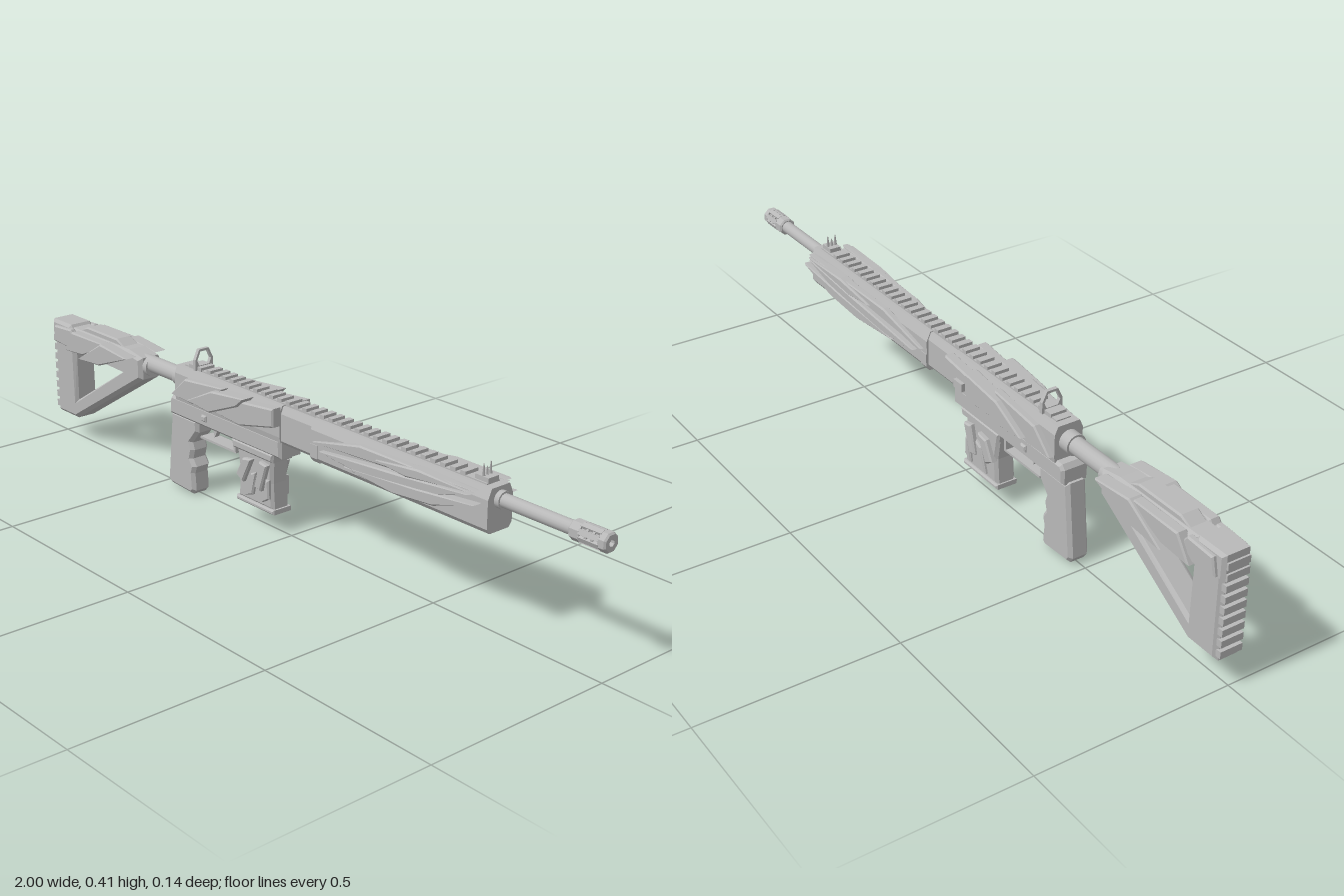
import * as THREE from 'three';

export function createModel() {
  const root = new THREE.Group();
  root.name = 'rifle';
  const grey = new THREE.MeshStandardMaterial({ color: 0xb8b8b8 });
  grey.name = 'grey';

  const add = (name, geo, x = 0, y = 0, z = 0) => {
    const m = new THREE.Mesh(geo, grey);
    m.name = name;
    m.position.set(x, y, z);
    root.add(m);
    return m;
  };
  const poly = (Type, pts) => new Type(pts.map(([x, y]) => new THREE.Vector2(x, y)));

  // Side outline extruded across z, centred, with chamfered edges inside the outline
  const slab = (name, pts, width, bevel = 0, hole = null) => {
    const s = poly(THREE.Shape, pts);
    if (hole) s.holes.push(poly(THREE.Path, hole));
    const geo = new THREE.ExtrudeGeometry(s, {
      depth: width - 2 * bevel, bevelEnabled: bevel > 0, bevelSize: bevel,
      bevelThickness: bevel, bevelOffset: -bevel, bevelSegments: 1,
    });
    geo.translate(0, 0, -(width / 2 - bevel));
    return add(name, geo);
  };
  // Symmetric cross-section [halfWidth, y] extruded along x
  const beam = (name, half, x0, x1) => {
    const pts = [...half, ...half.slice().reverse().map(([w, y]) => [-w, y])];
    const geo = new THREE.ExtrudeGeometry(poly(THREE.Shape, pts), { depth: x1 - x0, bevelEnabled: false });
    geo.rotateY(Math.PI / 2);
    return add(name, geo, x0);
  };
  const box = (name, x0, x1, y0, y1, z0, z1) =>
    add(name, new THREE.BoxGeometry(x1 - x0, y1 - y0, z1 - z0), (x0 + x1) / 2, (y0 + y1) / 2, (z0 + z1) / 2);
  const rod = (name, r, x0, x1, y, sides = 16) => {
    const geo = new THREE.CylinderGeometry(r, r, x1 - x0, sides);
    geo.rotateY(Math.PI / sides);
    geo.rotateZ(-Math.PI / 2);
    return add(name, sides <= 8 ? geo.toNonIndexed() : geo, (x0 + x1) / 2, y);
  };
  // Raised armour blade on both sides; slope leans it outwards along x
  const blade = (name, pts, z0, z1, slope = 0) => {
    const xMin = Math.min(...pts.map((p) => p[0]));
    for (const side of [1, -1]) {
      const s = poly(THREE.Shape, pts);
      const geo = new THREE.ExtrudeGeometry(s, {
        depth: z1 - z0 - 0.004, bevelEnabled: true, bevelSize: 0.004, bevelThickness: 0.004,
        bevelOffset: -0.004, bevelSegments: 1,
      });
      const p = geo.attributes.position;
      for (let i = 0; i < p.count; i++) {
        p.setZ(i, p.getZ(i) + z0 + slope * (p.getX(i) - xMin));
      }
      if (side < 0) geo.rotateY(Math.PI).scale(1, 1, 1);
      if (side < 0) {
        // turned half round, so mirror x back and swap winding
        for (let i = 0; i < p.count; i++) p.setX(i, -p.getX(i));
        for (let i = 0; i < p.count; i += 3) {
          const a = new THREE.Vector3().fromBufferAttribute(p, i + 1);
          const b = new THREE.Vector3().fromBufferAttribute(p, i + 2);
          p.setXYZ(i + 1, b.x, b.y, b.z);
          p.setXYZ(i + 2, a.x, a.y, a.z);
        }
      }
      geo.computeVertexNormals();
      add(name, geo);
    }
  };

  // Stock with triangular opening, ribbed butt pad and buffer tube
  slab('stock', [[-0.99, 0.07], [-0.9, 0.07], [-0.58, 0.265], [-0.58, 0.325], [-0.64, 0.335], [-0.99, 0.335]],
    0.07, 0.01, [[-0.895, 0.125], [-0.895, 0.265], [-0.67, 0.265]]);
  slab('buttCap', [[-0.995, 0.275], [-0.9, 0.275], [-0.9, 0.33], [-0.91, 0.342], [-0.995, 0.342]], 0.076, 0.008);
  for (let i = 0; i < 9; i++) box('buttRib', -1, -0.985, 0.082 + i * 0.028, 0.1 + i * 0.028, -0.03, 0.03);
  slab('stockTopPlate', [[-0.87, 0.335], [-0.84, 0.35], [-0.7, 0.35], [-0.67, 0.335]], 0.05, 0.004);
  blade('stockBlade', [[-0.98, 0.285], [-0.91, 0.28], [-0.87, 0.31], [-0.89, 0.335], [-0.97, 0.33]], 0.033, 0.048);
  blade('stockBlade', [[-0.91, 0.275], [-0.82, 0.28], [-0.7, 0.335], [-0.87, 0.335]], 0.033, 0.058);
  blade('stockBlade', [[-0.83, 0.27], [-0.73, 0.275], [-0.6, 0.325], [-0.72, 0.338]], 0.033, 0.067);
  rod('bufferTube', 0.022, -0.6, -0.4, 0.307);
  rod('bufferCollar', 0.027, -0.45, -0.41, 0.307);
  rod('stockCollar', 0.027, -0.6, -0.565, 0.3);

  // Receiver
  beam('upperReceiver', [[0.036, 0.255], [0.039, 0.27], [0.039, 0.33], [0.03, 0.35]], -0.42, 0);
  slab('lowerReceiver', [[-0.45, 0.21], [-0.002, 0.21], [-0.002, 0.262], [-0.44, 0.262], [-0.45, 0.25]], 0.074, 0.007);
  beam('receiverNeck', [[0.026, 0.25], [0.034, 0.26], [0.034, 0.33], [0.026, 0.348]], -0.01, 0.13);
  blade('receiverBlade', [[-0.42, 0.275], [-0.33, 0.27], [-0.24, 0.31], [-0.2, 0.345], [-0.36, 0.33]], 0.036, 0.055);
  blade('receiverBlade', [[-0.33, 0.285], [-0.24, 0.275], [-0.13, 0.32], [-0.1, 0.348], [-0.23, 0.335]], 0.036, 0.071);
  blade('receiverBlade', [[-0.23, 0.28], [-0.13, 0.27], [0, 0.3], [0, 0.348], [-0.12, 0.335]], 0.036, 0.062);
  box('boltHandle', -0.08, -0.06, 0.295, 0.31, -0.07, -0.03);
  box('boltKnob', -0.09, -0.055, 0.292, 0.313, -0.072, -0.06);
  blade('receiverPin', [[-0.31, 0.228], [-0.29, 0.228], [-0.29, 0.245], [-0.31, 0.245]], 0.035, 0.043);

  // Handguard and its swept blades
  beam('handguard', [[0.03, 0.245], [0.039, 0.257], [0.039, 0.325], [0.028, 0.35]], 0.115, 0.692);
  beam('handguardRim', [[0.031, 0.243], [0.041, 0.256], [0.041, 0.29], [0.031, 0.29]], 0.115, 0.14);
  blade('handguardBlade', [[0.13, 0.3], [0.3, 0.34], [0.67, 0.345], [0.4, 0.315]], 0.035, 0.05, 0.02);
  blade('handguardBlade', [[0.16, 0.285], [0.34, 0.27], [0.5, 0.285], [0.66, 0.335], [0.45, 0.315]], 0.035, 0.054, 0.025);
  blade('handguardBlade', [[0.25, 0.275], [0.42, 0.262], [0.55, 0.275], [0.68, 0.318], [0.5, 0.3]], 0.035, 0.058, 0.03);
  blade('handguardBlade', [[0.36, 0.325], [0.46, 0.315], [0.66, 0.342], [0.5, 0.345]], 0.035, 0.062, 0.02);

  // Top rail
  box('railBase', -0.4, 0.67, 0.343, 0.353, -0.02, 0.02);
  for (let i = 0; i < 30; i++) {
    const x = -0.31 + i * 0.031;
    box('railTooth', x, x + 0.016, 0.352, 0.361, -0.02, 0.02);
  }

  // Rear sight hoop and front sight prongs
  const hoop = (a, b, c, y0, y1, y2) => [[-a, y0], [a, y0], [b, y1], [c, y2], [-c, y2], [-b, y1]];
  const ring = poly(THREE.Shape, hoop(0.028, 0.028, 0.015, 0.345, 0.378, 0.405));
  ring.holes.push(poly(THREE.Path, hoop(0.016, 0.022, 0.012, 0.362, 0.376, 0.399)));
  const ringGeo = new THREE.ExtrudeGeometry(ring, { depth: 0.01, bevelEnabled: false });
  ringGeo.rotateY(Math.PI / 2);
  add('rearSight', ringGeo, -0.355);
  box('rearSightBase', -0.38, -0.33, 0.345, 0.36, -0.022, 0.022);
  box('frontSightBase', 0.63, 0.67, 0.345, 0.364, -0.016, 0.016);
  for (const [z, top] of [[-0.011, 0.392], [0, 0.383], [0.011, 0.392]]) {
    const h = top - 0.36;
    add('frontSightProng', new THREE.CylinderGeometry(0.0015, 0.0055, h, 4), 0.65, 0.36 + h / 2, z);
  }

  // Barrel and ported muzzle brake
  rod('barrel', 0.0165, 0.68, 0.92, 0.32);
  rod('barrelCollar', 0.021, 0.685, 0.705, 0.32);
  const brake = new THREE.LatheGeometry(
    [[0.008, 0.06], [0.008, 0.1], [0.02, 0.1], [0.024, 0.096], [0.024, 0.08], [0.019, 0.08], [0.019, 0.03],
      [0.024, 0.03], [0.024, 0.004], [0.02, 0], [0, 0]].reverse().map(([r, y]) => new THREE.Vector2(r, y)), 8, Math.PI / 8).toNonIndexed();
  brake.computeVertexNormals();
  brake.rotateZ(-Math.PI / 2);
  add('muzzleBrake', brake, 0.9, 0.32);
  rod('bore', 0.009, 0.95, 0.962, 0.32);
  for (let i = 0; i < 8; i++) {
    const a = (i * Math.PI) / 4 + Math.PI / 8;
    const bar = box('brakeBar', 0.928, 0.982, -0.004, 0.004, -0.006, 0.006);
    bar.rotation.x = -a;
    bar.position.set(0.955, 0.32 + 0.0195 * Math.cos(a), -0.0195 * Math.sin(a));
  }
  for (const x of [0.944, 0.961]) rod('brakeRib', 0.0235, x, x + 0.006, 0.32, 8);

  // Grip
  slab('grip', [[-0.457, 0.215], [-0.478, 0.02], [-0.468, 0.005], [-0.375, 0], [-0.363, 0.012], [-0.367, 0.06],
    [-0.36, 0.08], [-0.374, 0.1], [-0.367, 0.125], [-0.374, 0.145], [-0.345, 0.18], [-0.345, 0.215]], 0.056, 0.009);

  // Trigger and guard
  box('guardBottom', -0.34, -0.195, 0.167, 0.173, -0.02, 0.02);
  box('guardFront', -0.203, -0.195, 0.17, 0.212, -0.02, 0.02);
  slab('trigger', [[-0.305, 0.212], [-0.285, 0.212], [-0.288, 0.195], [-0.298, 0.178], [-0.302, 0.195]], 0.014);

  // Magazine with well, base plate and angular plates
  slab('magazineWell', [[-0.19, 0.19], [-0.035, 0.19], [-0.03, 0.215], [-0.195, 0.215]], 0.072, 0.006);
  slab('magazine', [[-0.183, 0.2], [-0.172, 0.13], [-0.178, 0.06], [-0.04, 0.06], [-0.045, 0.13], [-0.042, 0.2]], 0.056, 0.008);
  slab('magazineBase', [[-0.182, 0.05], [-0.035, 0.05], [-0.035, 0.063], [-0.182, 0.063]], 0.062, 0.004);
  blade('magazinePlate', [[-0.172, 0.125], [-0.145, 0.11], [-0.11, 0.18], [-0.145, 0.175]], 0.025, 0.041);
  blade('magazinePlate', [[-0.14, 0.075], [-0.11, 0.085], [-0.095, 0.15], [-0.118, 0.14]], 0.025, 0.037);
  blade('magazinePlate', [[-0.1, 0.11], [-0.075, 0.105], [-0.05, 0.18], [-0.08, 0.185]], 0.025, 0.041);
  blade('magazinePlate', [[-0.075, 0.075], [-0.048, 0.09], [-0.05, 0.14], [-0.062, 0.14]], 0.025, 0.036);

  return root;
}
